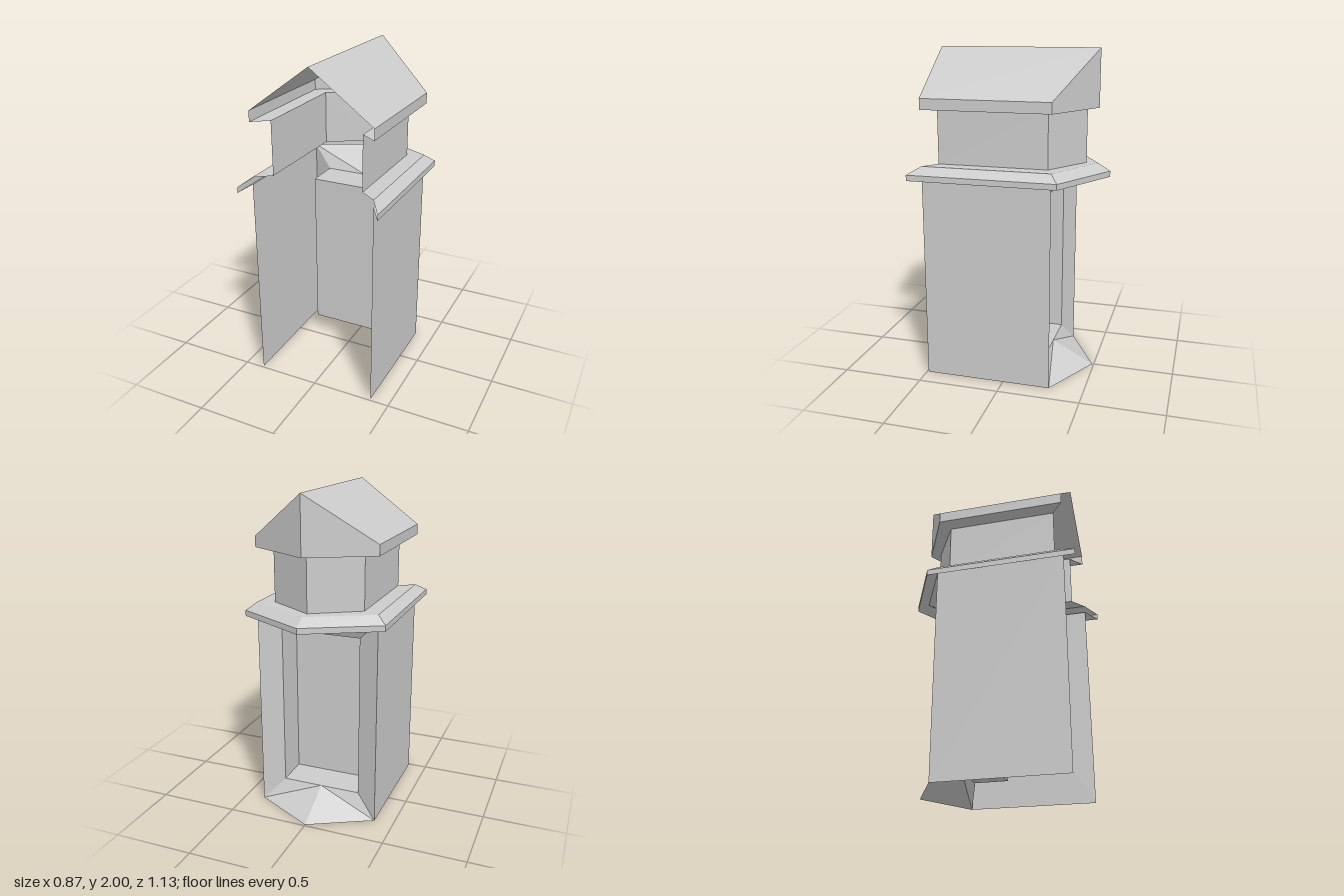
import * as THREE from 'three';

const material = new THREE.MeshStandardMaterial({
  color: 0xcccccc, flatShading: true, side: THREE.DoubleSide,
});

// Flat-shaded surface from planar polygons, each split as a fan from its first corner
function surface(name, polygons) {
  const pos = [];
  for (const p of polygons)
    for (let i = 1; i < p.length - 1; i++) pos.push(...p[0], ...p[i], ...p[i + 1]);
  const geo = new THREE.BufferGeometry();
  geo.setAttribute('position', new THREE.Float32BufferAttribute(pos, 3));
  geo.computeVertexNormals();
  const mesh = new THREE.Mesh(geo, material);
  mesh.name = name;
  return mesh;
}

// Plan outline, open at the front and pointed at the back
function ring([x, front, back, point], y, pointY = y) {
  return [[x, y, front], [x, y, back], [0, pointY, point], [-x, y, back], [-x, y, front]];
}

// Quads between successive open outlines
function loft(rings) {
  const quads = [];
  for (let r = 0; r < rings.length - 1; r++)
    for (let i = 0; i < rings[r].length - 1; i++)
      quads.push([rings[r][i], rings[r][i + 1], rings[r + 1][i + 1], rings[r + 1][i]]);
  return quads;
}

// Closed six-point loop around the back opening; z given at the sides and the middle
function opening(x, y0, y1, zSide, zMid) {
  return [
    [x, y0, zSide], [0, y0, zMid], [-x, y0, zSide],
    [-x, y1, zSide], [0, y1, zMid], [x, y1, zSide],
  ];
}

// Quads between two loops, with diagonals mirrored about the middle
function band(a, b) {
  return a.map((p, i) => {
    const j = (i + 1) % a.length;
    return i % 3 === 1 ? [a[j], b[j], b[i], p] : [p, a[j], b[j], b[i]];
  });
}

export function createModel() {
  const group = new THREE.Group();
  group.name = 'tower';

  // Plan sizes: half width, front z, back corner z, back point z
  const body = [0.38, 0.49, -0.29, -0.49];
  const ledge = [0.437, 0.565, -0.335, -0.565];
  const neck = [0.283, 0.42, -0.248, -0.42];
  const wallTop = 1.28, neckBase = 1.325, soffit = 1.655, eave = 1.72, ridge = 2;

  // Side walls
  const walls = loft([ring(body, 0), ring(body, wallTop)]);
  group.add(surface('rightWall', [walls[3]]), surface('leftWall', [walls[0]]));

  // Back frame sloping in to a deep recess
  const outer = opening(body[0], 0, wallTop, body[2], body[3]);
  const inner = opening(0.25, 0.135, 1.152, -0.23, -0.23);
  const deep = opening(0.25, 0.135, 1.152, -0.02, -0.02);
  group.add(
    surface('backFrame', band(outer, inner)),
    surface('recessSides', band(inner, deep)),
    surface('recessPanel', [deep]),
  );

  // Ledge around the wall top
  group.add(surface('ledge', loft([
    ring(body, wallTop), ring(ledge, 1.245), ring(ledge, wallTop),
    ring(body, neckBase), ring(neck, neckBase),
  ])));

  // Narrower upper walls
  group.add(surface('neck', loft([ring(neck, neckBase), ring(neck, soffit)])));

  // Eaves and pointed gable
  group.add(surface('eavesAndGable', loft([
    ring(neck, soffit), ring(body, soffit), ring(body, eave, ridge),
  ])));

  // Roof slopes
  const top = ring(body, eave, ridge);
  const ridgeFront = [0, ridge, body[1]];
  group.add(
    surface('leftRoof', [[top[0], top[1], top[2], ridgeFront]]),
    surface('rightRoof', [[ridgeFront, top[2], top[3], top[4]]]),
  );
  return group;
}
